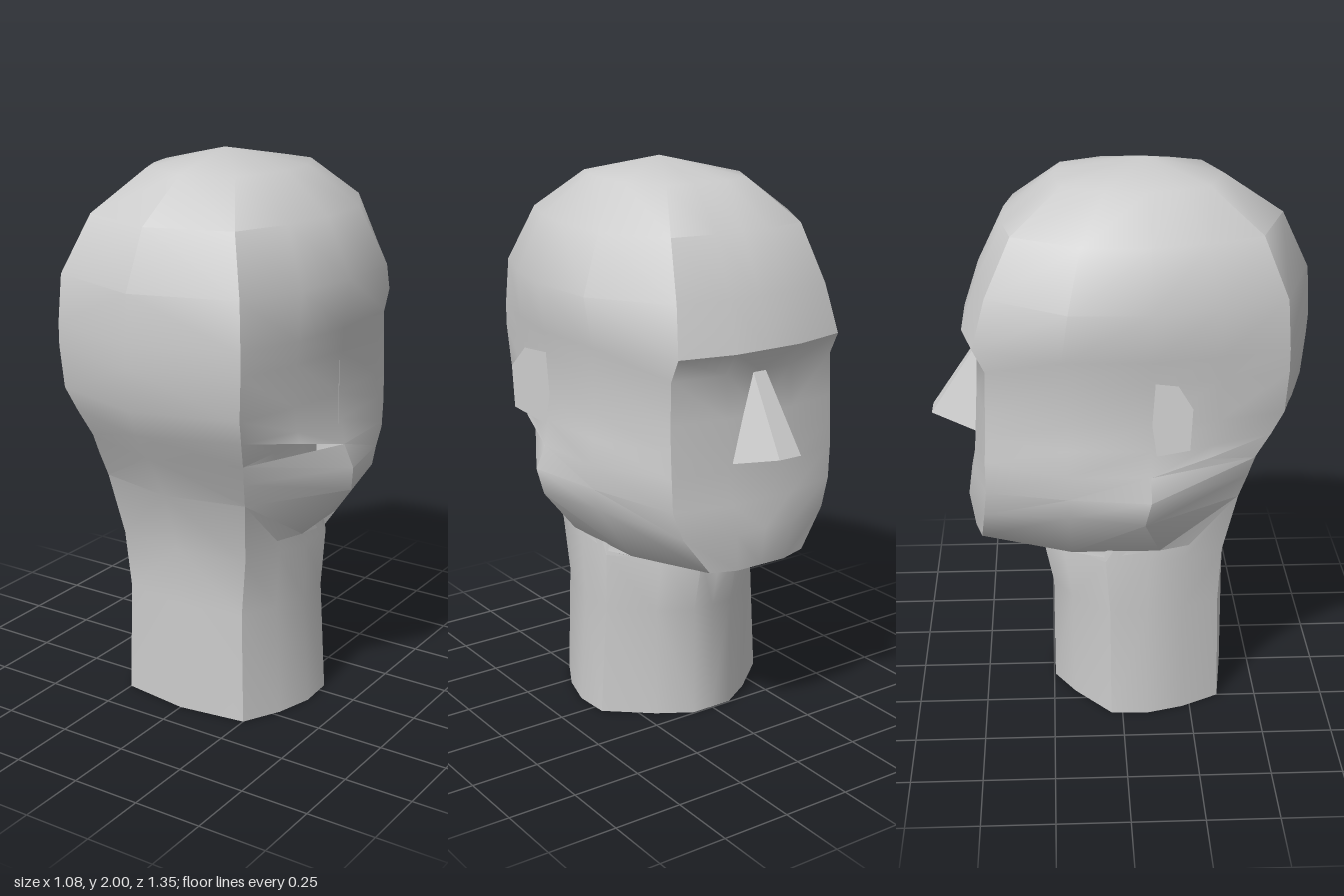
import * as THREE from 'three';
import { toCreasedNormals } from 'three/addons/utils/BufferGeometryUtils.js';
import { ConvexGeometry } from 'three/addons/geometries/ConvexGeometry.js';

const clay = new THREE.MeshStandardMaterial({ color: 0xcccccc, side: THREE.DoubleSide });
clay.name = 'clay grey';

// Half cross-section from the back centre round the side to the front centre
function ring(y, w, xBack, zBack, zBackCorner, xFace, zFace, zFront) {
  const mid = 0.09;
  return [
    [0, y, zBack],
    [xBack, y, zBackCorner],
    [xBack + (w - xBack) * 0.65, y, mid + (zBackCorner - mid) * 0.5],
    [w, y, mid],
    [w * 0.98, y, mid + (zFace - mid) * 0.5],
    [xFace, y, zFace],
    [xFace * 0.4, y, zFront],
    [0, y, zFront],
  ];
}

// Skins half sections, listed from top to bottom, and their mirror image
function skin(rows, out) {
  const tri = (a, b, c) => {
    const [p, q, r] = [a, b, c].map((v) => new THREE.Vector3(...v));
    if (q.clone().sub(p).cross(r.clone().sub(p)).length() < 1e-7) return;
    out.push(...a, ...b, ...c);
    for (const v of [a, c, b]) out.push(-v[0], v[1], v[2]);
  };
  for (let i = 0; i + 1 < rows.length; i++) {
    for (let j = 0; j + 1 < rows[i].length; j++) {
      const [a, b, c, d] = [rows[i][j], rows[i + 1][j], rows[i + 1][j + 1], rows[i][j + 1]];
      tri(a, b, c);
      tri(a, c, d);
    }
  }
}

function headGeometry() {
  const out = [];

  // Skull: crown, brow ridge at 1.43, face set back below it
  const skull = [
    ring(2.0, 0, 0, 0.09, 0.09, 0, 0.09, 0.09),
    ring(1.94, 0.25, 0.18, 0.36, 0.3, 0.17, -0.2, -0.22),
    ring(1.8, 0.41, 0.29, 0.57, 0.47, 0.27, -0.37, -0.4),
    ring(1.6, 0.5, 0.36, 0.665, 0.55, 0.31, -0.46, -0.495),
    ring(1.43, 0.483, 0.37, 0.675, 0.56, 0.335, -0.505, -0.55),
    ring(1.35, 0.472, 0.37, 0.67, 0.56, 0.335, -0.465, -0.5),
    ring(1.2, 0.465, 0.36, 0.655, 0.55, 0.34, -0.468, -0.505),
    ring(1.11, 0.475, 0.34, 0.63, 0.51, 0.34, -0.47, -0.51),
  ];

  // Lower edge of the skull rises towards the back, leaving a slot over the jaw
  const edge = ring(1.02, 0.49, 0.34, 0.63, 0.51, 0.34, -0.475, -0.515);
  edge[0][1] = edge[1][1] = 1.11;
  edge[2][1] = 1.07;
  skin([...skull, edge], out);

  // Jaw: neck side, jaw angle, cheek, face corner, chin side, chin centre
  const jaw = [
    [[0.315, 1.01, 0.46], ...edge.slice(3)],
    [[0.305, 0.94, 0.44], [0.527, 0.94, 0.09], [0.465, 0.93, -0.19], [0.335, 0.9, -0.475], [0.13, 0.9, -0.525], [0, 0.9, -0.525]],
    [[0.29, 0.85, 0.41], [0.51, 0.85, 0.07], [0.45, 0.855, -0.19], [0.3, 0.8, -0.485], [0.12, 0.8, -0.545], [0, 0.8, -0.545]],
    [[0.265, 0.67, 0.37], [0.35, 0.67, 0.13], [0.31, 0.65, -0.18], [0.2, 0.665, -0.5], [0.1, 0.66, -0.525], [0, 0.66, -0.525]],
    [[0.26, 0.62, 0.36], [0.34, 0.66, 0.09], [0.33, 0.635, -0.06], [0.2, 0.61, -0.22], [0.08, 0.59, -0.295], [0, 0.59, -0.295]],
  ];
  skin(jaw, out);

  // Neck, open at the bottom
  skin([
    ring(1.11, 0.35, 0.34, 0.63, 0.51, 0.17, -0.1, -0.15),
    ring(1.01, 0.33, 0.315, 0.56, 0.46, 0.17, -0.1, -0.15),
    ring(0.85, 0.32, 0.29, 0.475, 0.41, 0.17, -0.14, -0.2),
    ring(0.62, 0.343, 0.26, 0.395, 0.36, 0.2, -0.21, -0.29),
    ring(0.41, 0.335, 0.24, 0.39, 0.352, 0.2, -0.177, -0.245),
    ring(0, 0.36, 0.25, 0.392, 0.358, 0.2, -0.172, -0.245),
  ], out);

  const geometry = new THREE.BufferGeometry();
  geometry.setAttribute('position', new THREE.Float32BufferAttribute(out, 3));
  return toCreasedNormals(geometry, 0.68);
}

// Flat ear plate angled out from the head towards the back
function earGeometry(side) {
  const outline = [[0.085, 1.1], [0.105, 1.09], [0.215, 1.14], [0.222, 1.29], [0.175, 1.36], [0.085, 1.35]];
  const geometry = new THREE.ShapeGeometry(new THREE.Shape(outline.map((p) => new THREE.Vector2(...p))));
  const p = geometry.attributes.position;
  for (let i = 0; i < p.count; i++) {
    const z = p.getX(i);
    p.setXYZ(i, side * (0.46 + (z - 0.085) * 0.58), p.getY(i), z);
  }
  geometry.computeVertexNormals();
  return geometry;
}

// Wedge nose with a narrow bridge and a flat base
function noseGeometry() {
  const points = [];
  for (const s of [-1, 1]) {
    points.push(
      new THREE.Vector3(s * 0.025, 1.36, -0.49),
      new THREE.Vector3(s * 0.045, 1.085, -0.672),
      new THREE.Vector3(s * 0.125, 1.04, -0.5),
    );
  }
  return new ConvexGeometry(points);
}

export function createModel() {
  const model = new THREE.Group();
  model.name = 'headBust';
  const add = (name, geometry) => {
    const mesh = new THREE.Mesh(geometry, clay);
    mesh.name = name;
    model.add(mesh);
  };
  add('headAndNeck', headGeometry());
  add('nose', noseGeometry());
  add('leftEar', earGeometry(1));
  add('rightEar', earGeometry(-1));
  return model;
}
